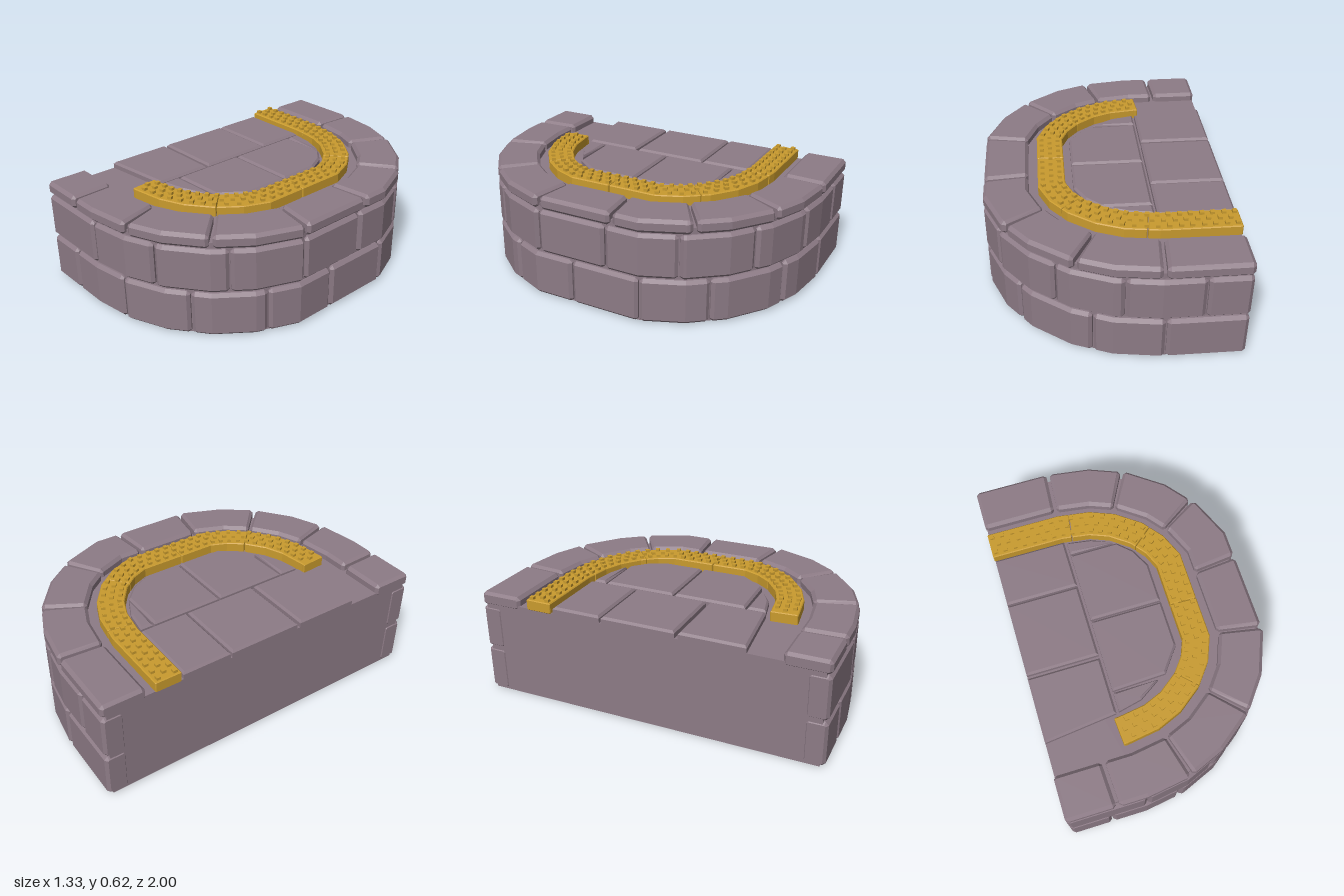
import * as THREE from 'three';
import { mergeGeometries } from 'three/addons/utils/BufferGeometryUtils.js';

// Plan outline [x, z], back half then mirrored to the front
const half = [[-0.665, -1], [-0.22, -1], [0.02, -0.965], [0.23, -0.88], [0.43, -0.73], [0.57, -0.55], [0.665, -0.32]];
const path = [...half, ...half.slice().reverse().map(([x, z]) => [x, -z])].map(([x, z]) => new THREE.Vector2(x, z));

// Outward normals of the segments, mitred at the corners, and running length
const segNormals = path.slice(1).map((p, i) => {
  const d = p.clone().sub(path[i]).normalize();
  return new THREE.Vector2(d.y, -d.x);
});
const miters = path.map((p, i) => {
  const a = segNormals[Math.max(i - 1, 0)], b = segNormals[Math.min(i, segNormals.length - 1)];
  return a.clone().add(b).divideScalar(1 + a.dot(b));
});
const lengths = [0];
for (let i = 1; i < path.length; i++) lengths.push(lengths[i - 1] + path[i].distanceTo(path[i - 1]));
const total = lengths[lengths.length - 1];

// Point at distance s along the outline, moved inward by o
function at(s, o) {
  let i = 0;
  while (i < path.length - 2 && s > lengths[i + 1]) i++;
  const t = (s - lengths[i]) / (lengths[i + 1] - lengths[i]);
  const p = path[i].clone().lerp(path[i + 1], t);
  const m = miters[i].clone().lerp(miters[i + 1], t);
  return { p: p.addScaledVector(m, -o), n: segNormals[i] };
}

// Chamfered block following the outline from s0 to s1
function curvedBlock(s0, s1, o0, o1, y0, y1, c) {
  const loop = (s, inset, ch) => {
    const a = o0 + inset, b = o1 - inset, lo = y0 + inset, hi = y1 - inset;
    return [[a, lo + ch], [a, hi - ch], [a + ch, hi], [b - ch, hi], [b, hi - ch], [b, lo + ch], [b - ch, lo], [a + ch, lo]]
      .map(([o, y]) => {
        const { p } = at(s, o);
        return [p.x, y, p.y];
      });
  };
  const stops = [s0 + c, ...lengths.filter(l => l > s0 + c + 0.005 && l < s1 - c - 0.005), s1 - c];
  const rings = [loop(s0, c * 0.8, c * 0.3), ...stops.map(s => loop(s, 0, c)), loop(s1, c * 0.8, c * 0.3)];
  const pos = [];
  const tri = (...pts) => pts.forEach(p => pos.push(...p));
  for (let i = 0; i < rings.length - 1; i++) {
    const a = rings[i], b = rings[i + 1];
    for (let j = 0; j < 8; j++) {
      const k = (j + 1) % 8;
      tri(a[j], a[k], b[k]);
      tri(a[j], b[k], b[j]);
    }
  }
  const first = rings[0], last = rings[rings.length - 1];
  for (let j = 1; j < 7; j++) {
    tri(first[0], first[j + 1], first[j]);
    tri(last[0], last[j], last[j + 1]);
  }
  const g = new THREE.BufferGeometry();
  g.setAttribute('position', new THREE.Float32BufferAttribute(pos, 3));
  g.computeVertexNormals();
  return g;
}

// Flat plan polygon raised between two heights, with optional bevel
function slab(points, y0, y1, bevel) {
  const shape = new THREE.Shape(points.map(p => new THREE.Vector2(p[0], p[1])));
  const g = new THREE.ExtrudeGeometry(shape, {
    depth: y1 - y0 - 2 * bevel, bevelEnabled: bevel > 0, bevelSize: bevel,
    bevelThickness: bevel, bevelOffset: -bevel, bevelSegments: 1,
  });
  g.rotateX(Math.PI / 2);
  g.translate(0, y1 - bevel, 0);
  return g;
}

export function createModel() {
  const stone = new THREE.MeshStandardMaterial({ color: 0x8d7b86 });
  stone.name = 'mauve stone';
  const yellow = new THREE.MeshStandardMaterial({ color: 0xc99b2e });
  yellow.name = 'ochre paving';
  const model = new THREE.Group();
  model.name = 'platformEnd';
  const group = name => {
    const g = new THREE.Group();
    g.name = name;
    model.add(g);
    return g;
  };
  const add = (parent, name, geometry, material) => {
    const m = new THREE.Mesh(geometry, material);
    m.name = name;
    parent.add(m);
  };

  // Solid core behind the bricks
  const corePlan = lengths.map(s => {
    const { p } = at(s, 0.028);
    return [p.x, p.y];
  });
  corePlan[0][0] = corePlan[corePlan.length - 1][0] = -0.66;
  add(model, 'core', slab(corePlan, 0, 0.55, 0), stone);

  // Brick courses and the coping ring, given by their joints
  const courses = [
    { name: 'lowerCourse', y: [0.003, 0.258], depth: 0.12, joints: [0.42, 0.8, 1.26, 1.64, 2.05, 2.46, 2.87, 3.27, 3.68] },
    { name: 'middleCourse', y: [0.267, 0.517], depth: 0.12, joints: [0.225, 0.63, 1.01, 1.43, 1.84, 2.254, 2.66, 3.06, 3.473] },
    { name: 'copingRing', y: [0.523, 0.6], depth: 0.245, joints: [0.44, 0.89, 1.35, 1.8, 2.25, 2.754, 3.22, 3.64] },
  ];
  for (const { name, y, depth, joints } of courses) {
    const g = group(name);
    const gap = name === 'copingRing' ? 0.01 : 0.004;
    const ends = [0, ...joints, total];
    for (let i = 0; i < ends.length - 1; i++) {
      const s0 = ends[i] + (i ? gap : 0), s1 = ends[i + 1] - (i < ends.length - 2 ? gap : 0);
      add(g, 'brick', curvedBlock(s0, s1, 0, depth, y[0], y[1], 0.018), stone);
    }
  }

  // Inner paving slabs
  const paving = group('paving');
  const slabs = [
    [[-0.66, -0.54], [-0.25, -0.54], [-0.25, -0.255], [-0.66, -0.255]],
    [[-0.66, -0.245], [-0.25, -0.245], [-0.25, 0.18], [-0.66, 0.18]],
    [[-0.66, 0.2], [-0.25, 0.2], [-0.25, 0.525], [-0.66, 0.57]],
    [[-0.235, -0.53], [-0.1, -0.51], [0.02, -0.455], [-0.235, -0.455]],
    [[-0.235, -0.445], [0.04, -0.445], [0.12, -0.37], [0.175, -0.26], [0.175, -0.03], [-0.235, -0.03]],
    [[-0.235, -0.018], [0.175, -0.018], [0.175, 0.25], [0.07, 0.39], [-0.235, 0.4]],
    [[-0.235, 0.412], [0.02, 0.412], [-0.1, 0.49], [-0.235, 0.52]],
  ];
  slabs.forEach(s => add(paving, 'pavingSlab', slab(s, 0.53, 0.588, 0.012), stone));

  // Raised warning strip
  const strip = group('tactileStrip');
  const stripEnds = [0, 0.53, 1.24, 1.99, 2.754, 3.5];
  for (let i = 0; i < stripEnds.length - 1; i++) {
    add(strip, 'stripTile', curvedBlock(stripEnds[i] + (i ? 0.003 : 0), stripEnds[i + 1] - 0.003, 0.297, 0.447, 0.545, 0.606, 0.005), yellow);
  }

  // Staggered square studs on the strip; spacing follows the strip's own centre line
  const studs = [];
  const steps = 700;
  let walked = 0, count = 0, prev = at(0, 0.372).p;
  for (let i = 1; i <= steps; i++) {
    const s = 3.47 * i / steps;
    const { p, n } = at(s, 0.372);
    walked += p.distanceTo(prev);
    prev = p;
    if (walked < 0.02 + count * 0.029) continue;
    for (const o of count % 2 ? [0.372] : [0.325, 0.419]) {
      const q = at(s, o).p;
      const box = new THREE.BoxGeometry(0.023, 0.018, 0.023);
      box.rotateY(Math.atan2(n.x, n.y));
      box.translate(q.x, 0.612, q.y);
      studs.push(box);
    }
    count++;
  }
  add(strip, 'studs', mergeGeometries(studs), yellow);
  return model;
}
